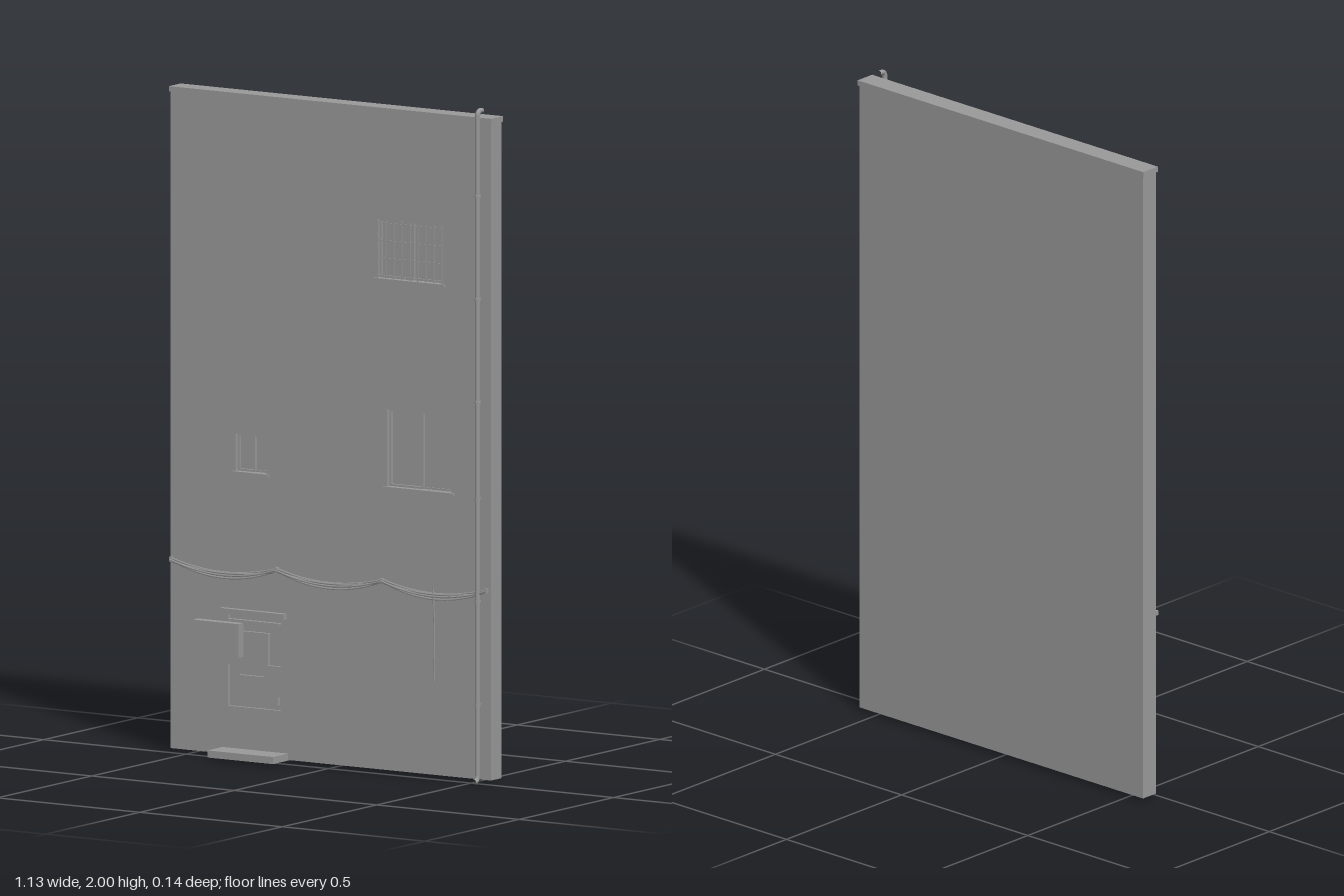
import * as THREE from 'three';

export function createModel() {
  const model = new THREE.Group();
  const grey = new THREE.MeshStandardMaterial({ color: 0x999999 });
  grey.name = 'concrete grey';

  const add = (name, geometry, parent = model) => {
    const mesh = new THREE.Mesh(geometry, grey);
    mesh.name = name;
    parent.add(mesh);
    return mesh;
  };
  // Box given by its lower and upper limits
  const box = (name, x0, x1, y0, y1, z0, z1, parent) => {
    const mesh = add(name, new THREE.BoxGeometry(x1 - x0, y1 - y0, z1 - z0), parent);
    mesh.position.set((x0 + x1) / 2, (y0 + y1) / 2, (z0 + z1) / 2);
    return mesh;
  };
  const group = (name) => {
    const g = new THREE.Group();
    g.name = name;
    model.add(g);
    return g;
  };
  const outline = (points) => points.map(([x, y]) => new THREE.Vector2(x, y));
  const rect = (x0, x1, y0, y1) => [[x0, y0], [x1, y0], [x1, y1], [x0, y1]];

  const FRONT = -0.012, RECESS = -0.034;

  // Wall: solid core with a pierced facing layer
  const windows = {
    small: [-0.335, -0.225, 0.852, 0.962],
    large: [0.197, 0.424, 0.852, 1.08],
    barred: [0.163, 0.392, 1.467, 1.64],
  };
  box('wallCore', -0.562, 0.562, 0.012, 1.956, -0.068, RECESS);
  const facing = new THREE.Shape(outline(rect(-0.562, 0.562, 0.012, 1.956)));
  Object.values(windows).forEach((w) => facing.holes.push(new THREE.Path(outline(rect(...w)))));
  // Stepped niches of the blocked doorway
  const upperNiche = [[-0.36, 0.38], [-0.22, 0.38], [-0.22, 0.285], [-0.175, 0.285], [-0.175, 0.425], [-0.36, 0.425]];
  const lowerNiche = [[-0.36, 0.155], [-0.175, 0.155], [-0.175, 0.195], [-0.185, 0.195], [-0.185, 0.17],
    [-0.322, 0.17], [-0.322, 0.25], [-0.235, 0.25], [-0.235, 0.278], [-0.36, 0.278]];
  [upperNiche, lowerNiche].forEach((n) => facing.holes.push(new THREE.Path(outline(n))));
  const facingGeo = new THREE.ExtrudeGeometry(facing, { depth: FRONT - RECESS, bevelEnabled: false });
  facingGeo.translate(0, 0, RECESS);
  add('wallFacing', facingGeo);
  box('niche back', -0.365, -0.17, 0.15, 0.43, RECESS, -0.022);
  box('coping', -0.566, 0.566, 1.956, 1.972, -0.071, -0.008);

  // Windows: frame, two sliding sashes and a sill
  for (const [name, [x0, x1, y0, y1]] of Object.entries(windows)) {
    const g = group(name + 'Window');
    const t = 0.006, mid = (x0 + x1) / 2;
    const frame = (label, a, b, z) => {
      box(label, a, a + t, y0, y1, RECESS, z, g);
      box(label, b - t, b, y0, y1, RECESS, z, g);
      box(label, a + t, b - t, y0, y0 + t, RECESS, z, g);
      box(label, a + t, b - t, y1 - t, y1, RECESS, z, g);
    };
    frame('rearSash', mid - t, x1, -0.03);
    frame('frontSash', x0, mid + t, -0.025);
    box('sill', x0 - 0.01, x1 + 0.01, y0 - 0.008, y0, RECESS, -0.004, g);
  }

  // Security bars on the upper window
  const bars = group('securityBars');
  const [bx0, bx1, by0, by1] = windows.barred;
  for (let i = 0; i <= 8; i++) {
    const x = THREE.MathUtils.lerp(bx0 + 0.002, bx1 - 0.002, i / 8);
    box('uprightBar', x - 0.0016, x + 0.0016, by0, by1, -0.013, -0.01, bars);
  }
  for (let i = 0; i < 4; i++) {
    const y = by0 + 0.008 + i * 0.052;
    box('crossBar', bx0, bx1, y - 0.0015, y + 0.0015, -0.012, -0.009, bars);
  }

  // Doorway canopy, sign box and step
  box('canopy', -0.378, -0.155, 0.428, 0.445, RECESS, 0.005);
  box('canopyLip', -0.36, -0.18, 0.408, 0.413, RECESS, -0.009);
  box('signBox', -0.463, -0.303, 0.305, 0.405, -0.008, 0.02);
  box('signMount', -0.44, -0.325, 0.325, 0.385, FRONT, -0.008);
  box('doorStep', -0.38, -0.15, 0.01, 0.031, -0.035, 0.068);

  // Drainpipe with bent ends and clips
  const tube = (name, pts, r, seg, sides, parent) => add(name, new THREE.TubeGeometry(
    new THREE.CatmullRomCurve3(pts.map((p) => new THREE.Vector3(...p))), seg, r, sides, false), parent);
  const pipe = group('drainpipe');
  const px = 0.523;
  const shaft = add('pipeShaft', new THREE.CylinderGeometry(0.0075, 0.0075, 1.96, 10), pipe);
  shaft.position.set(px, 1.0, 0);
  tube('topBend', [[px, 1.97, 0], [px, 1.985, -0.002], [px, 1.992, -0.01], [px, 1.992, -0.024]], 0.0075, 10, 10, pipe);
  tube('bottomBend', [[px, 0.025, 0], [px, 0.014, 0.003], [px, 0.009, 0.009], [px, 0.008, 0.019]], 0.0075, 10, 10, pipe);
  for (const y of [0.235, 0.54, 0.845, 1.13, 1.435, 1.74]) {
    const clip = add('pipeClip', new THREE.CylinderGeometry(0.0095, 0.0095, 0.009, 10), pipe);
    clip.position.set(px, y, 0);
    box('clipArm', px - 0.004, px + 0.004, y - 0.004, y + 0.004, FRONT, 0, pipe);
  }

  // Sagging cable bundle in three spans, with one loose end
  const cables = group('cables');
  const anchors = [-0.555, -0.185, 0.185, 0.55];
  const strands = [[0.576, 0.026, -0.005], [0.572, 0.03, 0.001], [0.568, 0.02, -0.002], [0.57, 0.037, -0.006]];
  for (const [y, sag, z] of strands) {
    for (let i = 0; i < 3; i++) {
      const pts = [];
      for (let k = 0; k <= 8; k++) {
        const t = k / 8;
        pts.push([THREE.MathUtils.lerp(anchors[i], anchors[i + 1], t), y - sag * 4 * t * (1 - t), z]);
      }
      tube('cableSpan', pts, 0.003, 20, 6, cables);
    }
  }
  anchors.forEach((x) => box('cableHook', x - 0.004, x + 0.004, 0.566, 0.58, FRONT, 0.002, cables));
  tube('looseCable', [[0.365, 0.568, -0.003], [0.367, 0.45, -0.006], [0.366, 0.29, -0.006]], 0.003, 12, 6, cables);

  return model;
}
